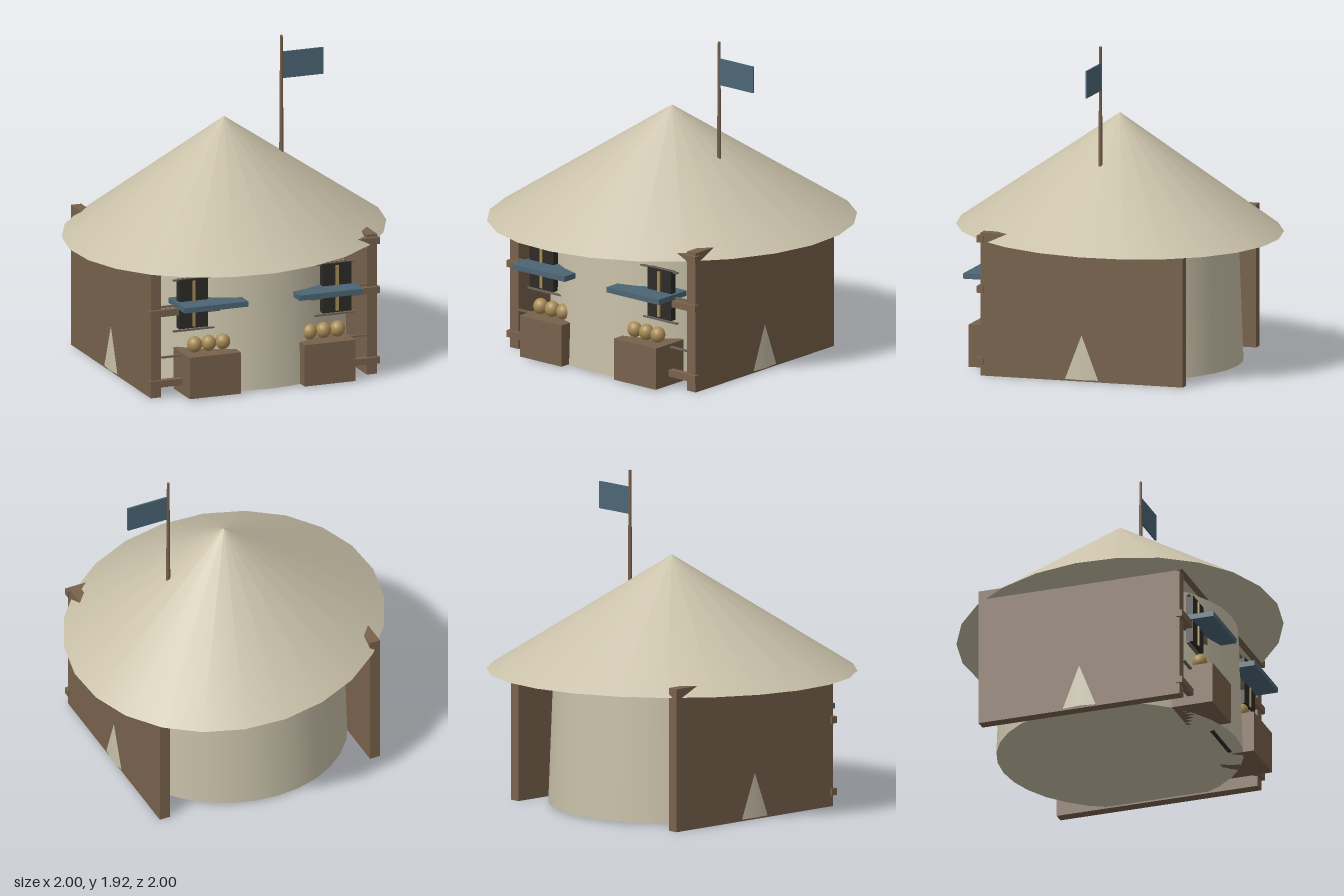
import * as THREE from 'three';

const mat = (color) => new THREE.MeshStandardMaterial({ color });

export function createModel() {
  const model = new THREE.Group();
  const plaster = mat(0xc8c0a8), wood = mat(0x78624c), cloth = mat(0x4c6675);
  const gold = mat(0xa88c55), dark = mat(0x2e2b26), mortar = mat(0x6b6558);

  const add = (name, geometry, material, x, y, z) => {
    const mesh = new THREE.Mesh(geometry, material);
    mesh.name = name;
    mesh.position.set(x, y, z);
    model.add(mesh);
    return mesh;
  };
  // Box given by its min and max on each axis
  const box = (name, material, [x0, x1], [y0, y1], [z0, z1]) =>
    add(name, new THREE.BoxGeometry(x1 - x0, y1 - y0, z1 - z0), material,
      (x0 + x1) / 2, (y0 + y1) / 2, (z0 + z1) / 2);
  // Same box on the left (+x) or right (-x)
  const sideBox = (name, material, side, [x0, x1], y, z) =>
    box(name, material, side > 0 ? [x0, x1] : [-x1, -x0], y, z);

  // Slightly tapered round wall
  add('wall', new THREE.CylinderGeometry(0.69, 0.72, 0.79, 32), plaster, 0, 0.405, 0);

  // Oval conical roof, its long axis on the diagonal
  const roof = add('roof', new THREE.ConeGeometry(1, 0.68, 24), plaster, 0, 1.13, 0);
  roof.scale.set(1.08, 1, 0.92);
  roof.rotation.y = Math.PI / 4;

  // Flat door and mortar lines set into the front of the wall
  box('door', dark, [-0.16, 0.16], [0, 0.45], [0.61, 0.63]);
  [0.24, 0.39, 0.545, 0.697].forEach((y, i) => {
    const half = i % 2 ? 0.57 : 0.645;
    box('mortarLine', mortar, [-half, half], [y - 0.005, y + 0.005], [0.612, 0.628]);
  });

  // Rails across the front
  for (const y of [0.085, 0.51, 0.808]) {
    box('frontRail', wood, [-0.72, 0.72], [y - 0.02, y + 0.02], [0.6, 0.64]);
  }

  for (const side of [1, -1]) {
    sideBox('sidePanel', wood, side, [0.645, 0.71], [0, 0.845], [-0.62, 0.62]);

    // Window with a pale upright bar
    sideBox('window', dark, side, [0.36, 0.54], [0.405, 0.7], [0.6, 0.642]);
    sideBox('windowBar', gold, side, [0.441, 0.459], [0.415, 0.69], [0.63, 0.65]);

    // Awning board over the stall
    sideBox('awning', cloth, side, [0.16, 0.56], [0.537, 0.569], [0.525, 0.775]);

    // Stall counter with a row of round goods
    sideBox('counter', wood, side, [0.2, 0.52], [0.01, 0.26], [0.505, 0.755]);
    for (const x of [0.272, 0.36, 0.448]) {
      const fruit = add('fruit', new THREE.SphereGeometry(0.044, 16, 12), gold, side * x, 0.308, 0.652);
      fruit.scale.y = 1.08;
    }
  }

  // Flag on a tapered pole
  add('flagPole', new THREE.CylinderGeometry(0.008, 0.013, 0.74, 10), wood, 0.36, 1.55, 0);
  box('flag', cloth, [0.365, 0.622], [1.66, 1.82], [-0.005, 0.005]);

  return model;
}
